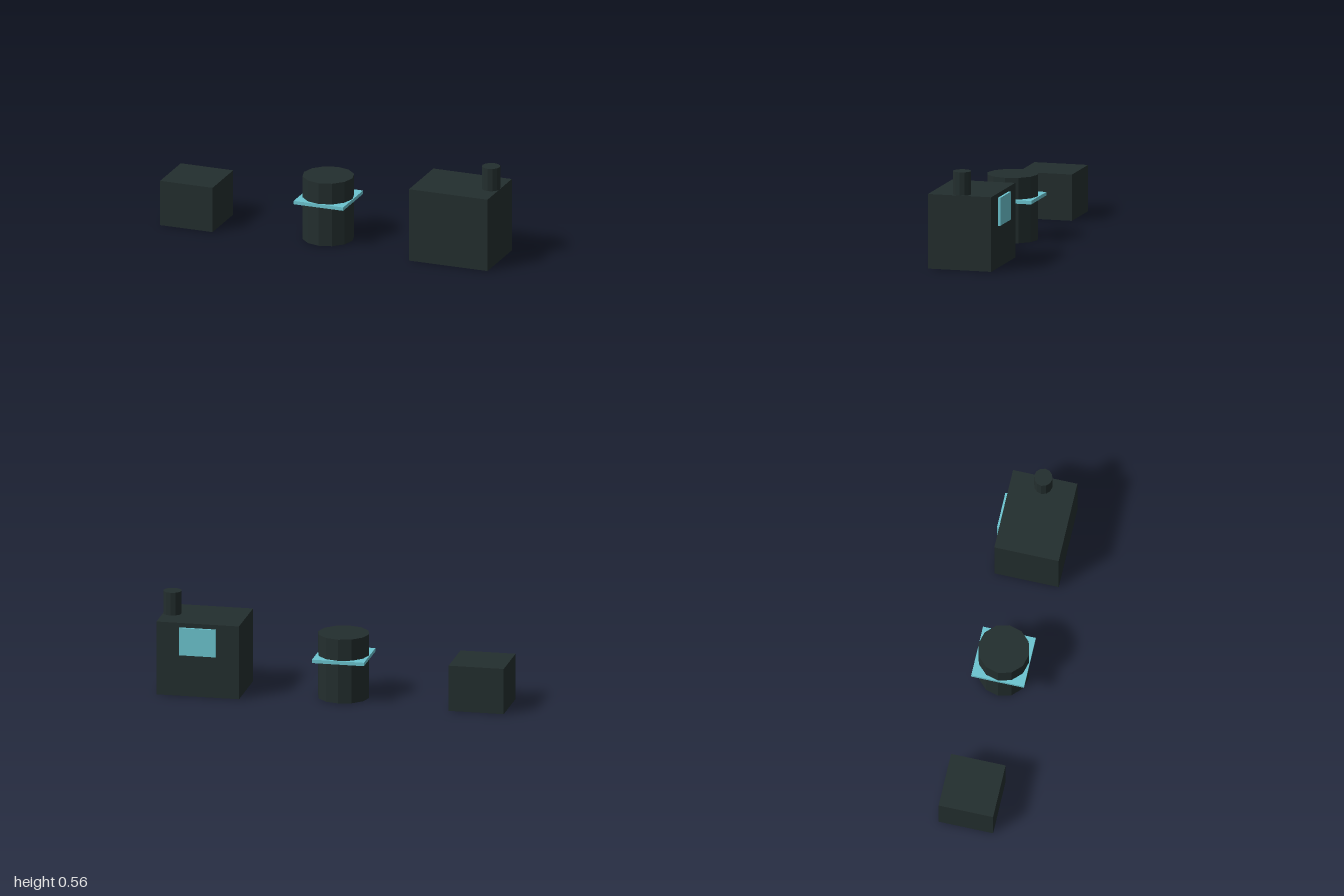
import * as THREE from 'three';

export function createModel() {
  const model = new THREE.Group();
  const dark = new THREE.MeshStandardMaterial({ color: 0x232e2e });
  dark.name = 'dark slate';
  const cyan = new THREE.MeshStandardMaterial({ color: 0x6cc5d0 });
  cyan.name = 'pale cyan';

  const add = (name, geometry, material, x, y, z) => {
    const mesh = new THREE.Mesh(geometry, material);
    mesh.name = name;
    mesh.position.set(x, y, z);
    model.add(mesh);
  };

  // Box given by its min and max corners
  const box = (name, material, [x0, y0, z0], [x1, y1, z1]) =>
    add(name, new THREE.BoxGeometry(x1 - x0, y1 - y0, z1 - z0), material,
      (x0 + x1) / 2, (y0 + y1) / 2, (z0 + z1) / 2);

  // Faceted upright cylinder from y0 to y1
  const cylinder = (name, material, r, x, z, y0, y1) =>
    add(name, new THREE.CylinderGeometry(r, r, y1 - y0, 12).toNonIndexed(), material,
      x, (y0 + y1) / 2, z);

  const flatten = (mesh) => mesh.geometry.computeVertexNormals();

  // Small crate
  box('crate', dark, [-1, 0, -0.155], [-0.682, 0.265, 0.16]);

  // Drum with a square collar
  cylinder('drum', dark, 0.147, -0.043, 0.004, 0, 0.374);
  box('drumCollar', cyan, [-0.193, 0.23, -0.15], [0.107, 0.25, 0.155]);

  // Large housing with chimney and rear panel
  box('housing', dark, [0.521, 0, -0.179], [0.997, 0.427, 0.193]);
  cylinder('chimney', dark, 0.0525, 0.945, 0.0075, 0.42, 0.56);
  box('rearPanel', cyan, [0.652, 0.241, -0.193], [0.864, 0.401, -0.175]);

  model.children.forEach(flatten);
  return model;
}
